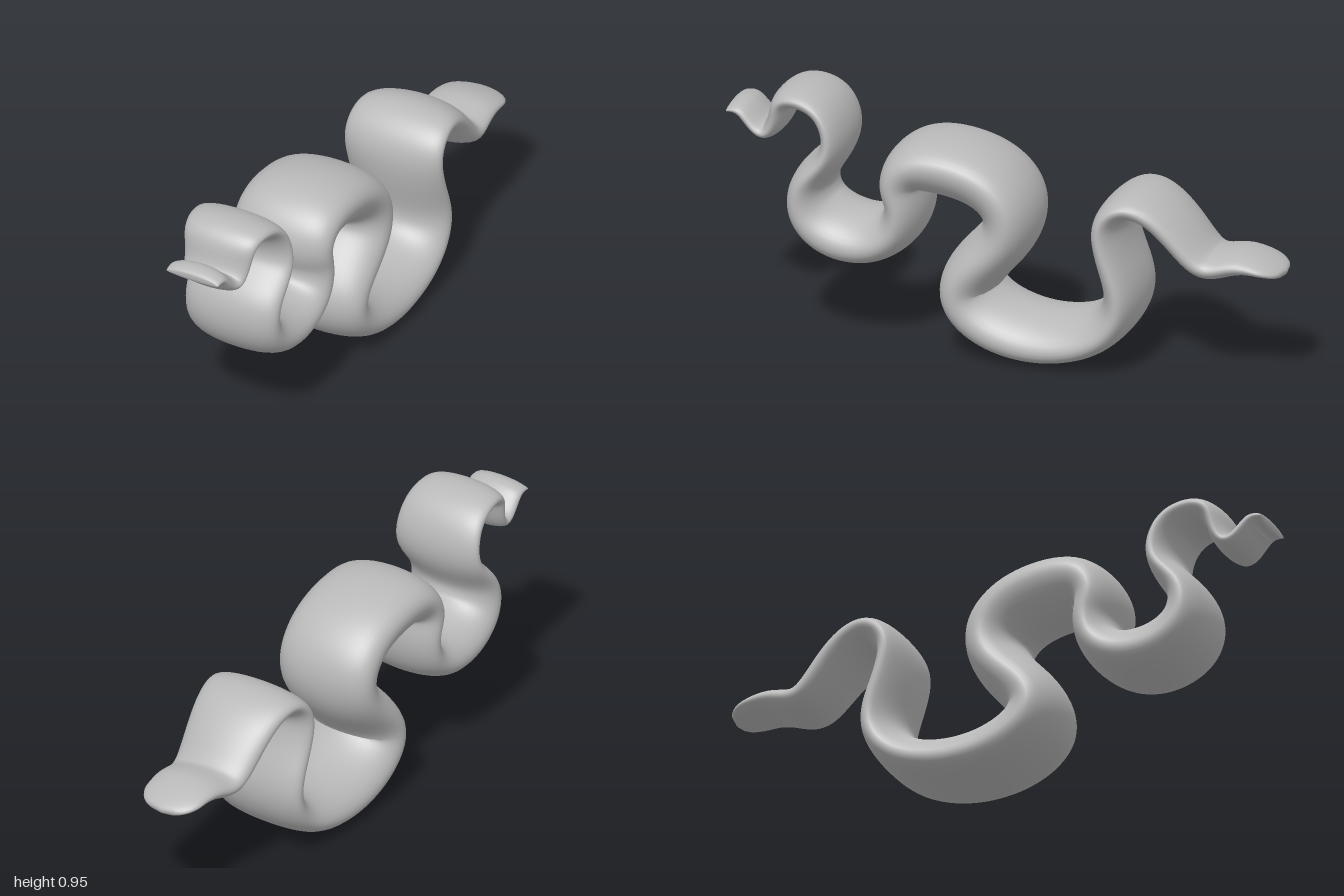
import * as THREE from 'three';

// Centre line from head to tail, as [length, height] in the body's own plane
const path = [
  [1.04, .82], [.99, .825], [.94, .77], [.89, .75], [.855, .81], [.835, .875], [.77, .894],
  [.68, .86], [.635, .765], [.655, .675], [.73, .585], [.725, .475], [.635, .4], [.5, .382],
  [.395, .437], [.365, .535], [.38, .612], [.335, .68], [.225, .69], [.075, .655], [-.022, .565],
  [-.015, .445], [.085, .335], [.138, .225], [.03, .123], [-.17, .082], [-.375, .13], [-.465, .255],
  [-.435, .395], [-.41, .52], [-.435, .6], [-.51, .64], [-.61, .6], [-.7, .51],
  [-.79, .425], [-.915, .462], [-1.07, .42],
];

// At every third point: half width, half thickness, and how far the rims lean
const section = [
  [.108, .032, 0], [.125, .035, .005], [.16, .046, -.008], [.19, .052, 0], [.192, .1, .025],
  [.2, .075, 0], [.204, .113, -.024], [.203, .1, -.012], [.203, .103, .025], [.2, .07, .02],
  [.2, .055, -.01], [.163, .06, 0], [.115, .035, 0],
];

// Mean of the path over a short span, which evens out its bends
function smoothPoint(curve, t, span) {
  const mean = new THREE.Vector2();
  for (let k = -4; k <= 4; k++) mean.add(curve.getPoint(t + (span * k) / 4));
  return mean.divideScalar(9);
}

// Sweeps a flattened oval along the path, closed at both ends
function ribbonGeometry(steps, sides) {
  const curve = new THREE.SplineCurve(path.map((p) => new THREE.Vector2(...p)));
  const sizes = new THREE.CatmullRomCurve3(
    section.map((p) => new THREE.Vector3(...p)), false, 'catmullrom', 0.5);
  const positions = [];
  const index = [];

  for (let i = 0; i <= steps; i++) {
    const t = i / steps;
    const span = Math.min(1 / 72, t, 1 - t);
    const c = smoothPoint(curve, t, span);
    const reach = Math.max(span, 0.0005);
    const d = curve.getPoint(Math.min(1, t + reach))
      .sub(curve.getPoint(Math.max(0, t - reach))).normalize();
    const { x: width, y: thickness, z: lean } = sizes.getPoint(t);

    // both tips thin out to a blade, and the tail's is rounded
    const tip = Math.min(1, Math.min(t, 1 - t) / 0.03);
    const thick = thickness * (0.25 + 0.75 * Math.sqrt(tip));
    const round = Math.min(1, (1 - t) / 0.016);
    const wide = width * Math.max(0.1, Math.sqrt(1 - (1 - round) ** 2));

    for (let j = 0; j < sides; j++) {
      const angle = (j / sides) * Math.PI * 2;
      const off = Math.sin(angle) * thick + Math.cos(angle) ** 2 * lean;
      positions.push(Math.cos(angle) * wide, c.y + d.x * off, c.x - d.y * off);
    }
  }

  for (let i = 0; i < steps; i++) {
    for (let j = 0; j < sides; j++) {
      const k = (j + 1) % sides;
      const a = i * sides + j, b = i * sides + k;
      index.push(a, b, a + sides, b, b + sides, a + sides);
    }
  }

  // End caps
  const last = steps * sides;
  const head = positions.length / 3;
  const [h, t] = [path[0], path[path.length - 1]];
  positions.push(0, h[1], h[0], 0, t[1], t[0]);
  for (let j = 0; j < sides; j++) {
    const k = (j + 1) % sides;
    index.push(head, k, j, head + 1, last + j, last + k);
  }

  const geometry = new THREE.BufferGeometry();
  geometry.setAttribute('position', new THREE.Float32BufferAttribute(positions, 3));
  geometry.setIndex(index);
  geometry.computeVertexNormals();
  return geometry;
}

export function createModel() {
  const grey = new THREE.MeshStandardMaterial({ color: 0xb8b8b8 });
  grey.name = 'grey';

  const body = new THREE.Mesh(ribbonGeometry(480, 40), grey);
  body.name = 'serpentBody';
  // The body's plane is turned away from the front
  body.rotation.y = THREE.MathUtils.degToRad(22.5);

  const model = new THREE.Group();
  model.name = 'serpent';
  model.add(body);
  return model;
}
